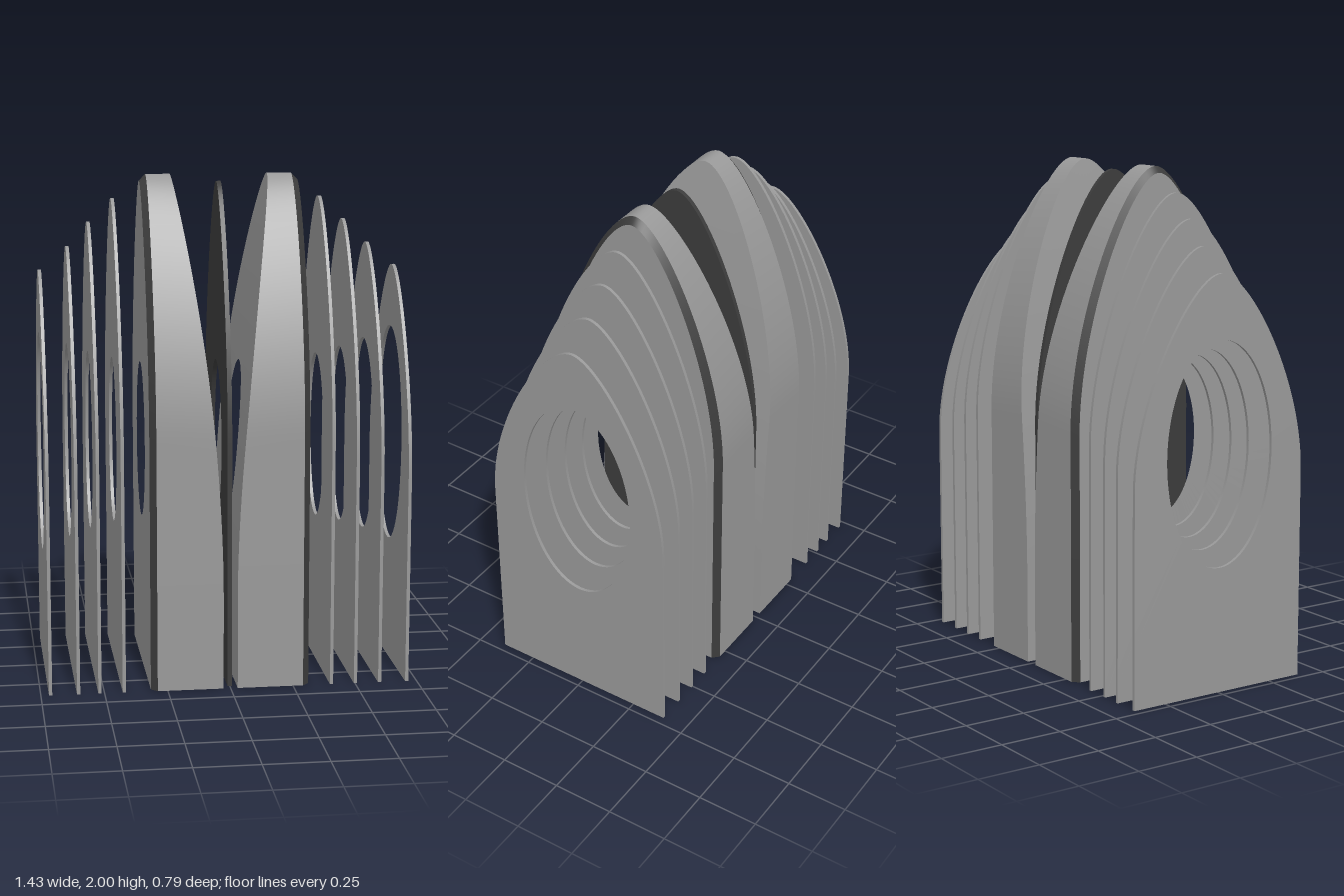
import * as THREE from 'three';
import { toCreasedNormals } from 'three/addons/utils/BufferGeometryUtils.js';

const HOLE_Y = 0.937;

// Pointed-arch outline as [z, y] points: flat base, straight sides, curved top
function archOutline(w, spring, peak) {
  const half = [];
  for (let i = 0; i < 8; i++) half.push([(w * i) / 8, 0]);
  for (let i = 0; i < 14; i++) half.push([w, (spring * i) / 14]);
  const rise = peak - spring;
  const curve = new THREE.CubicBezierCurve(
    new THREE.Vector2(w, spring),
    new THREE.Vector2(w, spring + rise * 0.45),
    new THREE.Vector2(w * 0.33, peak),
    new THREE.Vector2(0, peak)
  );
  curve.getPoints(28).forEach((p) => half.push([p.x, p.y]));
  const back = half.slice(1, -1).reverse().map(([z, y]) => [-z, y]);
  return [...half, ...back];
}

// Elliptical hole with one point for each outline point
function holeOutline(outline, rx, ry) {
  return outline.map(([z, y]) => {
    const a = Math.atan2((y - HOLE_Y) / ry, z / rx);
    return [rx * Math.cos(a), HOLE_Y + ry * Math.sin(a)];
  });
}

// Places a [z, y] loop at x, which may be a number or a function of height
function ring(loop, x) {
  return loop.map(([z, y]) => [typeof x === 'function' ? x(y) : x, y, z]);
}

// Skins a list of closed rings; side = -1 mirrors the result in x
function loft(rings, side = 1) {
  const n = rings[0].length;
  const pos = [];
  const idx = [];
  rings.forEach((r) => r.forEach(([x, y, z]) => pos.push(x * side, y, z)));
  for (let k = 0; k < rings.length - 1; k++) {
    for (let i = 0; i < n; i++) {
      const j = (i + 1) % n;
      const a = k * n + i, b = k * n + j, c = a + n, d = b + n;
      if (side > 0) idx.push(a, b, c, b, d, c);
      else idx.push(a, c, b, b, c, d);
    }
  }
  const g = new THREE.BufferGeometry();
  g.setAttribute('position', new THREE.Float32BufferAttribute(pos, 3));
  g.setIndex(idx);
  return toCreasedNormals(g, 0.5);
}

// Thin arched plate with a hole
function plateGeometry(x, thickness, w, spring, peak, rx, ry) {
  const outer = archOutline(w, spring, peak);
  const hole = holeOutline(outer, rx, ry);
  const x1 = x + thickness / 2, x0 = x - thickness / 2;
  return loft([ring(hole, x1), ring(outer, x1), ring(outer, x0), ring(hole, x0), ring(hole, x1)]);
}

// Inner face of a block flares away from the centre with height
const innerX = (y) => 0.028 + 0.165 * Math.pow(Math.max(0, (y - 0.4) / 1.6), 1.7);

export function createModel() {
  const grey = new THREE.MeshStandardMaterial({ color: 0x999999 });
  grey.name = 'grey';
  const dark = new THREE.MeshStandardMaterial({ color: 0x3c3c3c });
  dark.name = 'dark grey';

  const model = new THREE.Group();
  model.name = 'archedSlabs';
  const add = (parent, name, geometry, material) => {
    const mesh = new THREE.Mesh(geometry, material);
    mesh.name = name;
    parent.add(mesh);
  };

  // Centre plate
  add(model, 'centrePlate', plateGeometry(0, 0.018, 0.365, 0.98, 1.97, 0.178, 0.316), dark);

  // Thick blocks with chamfered outer edge and flared inner face
  const outer = archOutline(0.395, 1.0, 2.0);
  const inset = archOutline(0.37, 0.99, 1.975);
  const hole = holeOutline(outer, 0.177, 0.314);
  const insetHole = holeOutline(inset, 0.177, 0.314);
  const inner = [];
  for (let k = 0; k <= 8; k++) {
    const t = k / 8;
    const loop = outer.map(([z, y], i) => [
      z + (hole[i][0] - z) * t,
      y + (hole[i][1] - y) * t,
    ]);
    inner.push(ring(loop, innerX));
  }
  for (const side of [1, -1]) {
    const block = new THREE.Group();
    block.name = side > 0 ? 'leftBlock' : 'rightBlock';
    add(block, 'outerFace', loft([ring(insetHole, 0.315), ring(inset, 0.315)], side), grey);
    add(block, 'chamfer', loft([ring(inset, 0.315), ring(outer, 0.29)], side), dark);
    add(block, 'rimAndInnerFace', loft([ring(outer, 0.29), ...inner], side), grey);
    model.add(block);
  }

  // Thin plates stepping down outwards: left x, right x, peak, hole radii
  const plates = [
    [0.405, -0.422, 1.907, 0.188, 0.335],
    [0.502, -0.518, 1.815, 0.203, 0.36],
    [0.6, -0.602, 1.72, 0.223, 0.393],
    [0.71, -0.712, 1.628, 0.248, 0.441],
  ];
  plates.forEach(([xl, xr, peak, rx, ry], i) => {
    const spring = 1 - (2 - peak) * 0.45;
    add(model, 'leftPlate' + (i + 1), plateGeometry(xl, 0.013, 0.395, spring, peak, rx, ry), grey);
    add(model, 'rightPlate' + (i + 1), plateGeometry(xr, 0.013, 0.395, spring, peak, rx, ry), grey);
  });

  return model;
}
